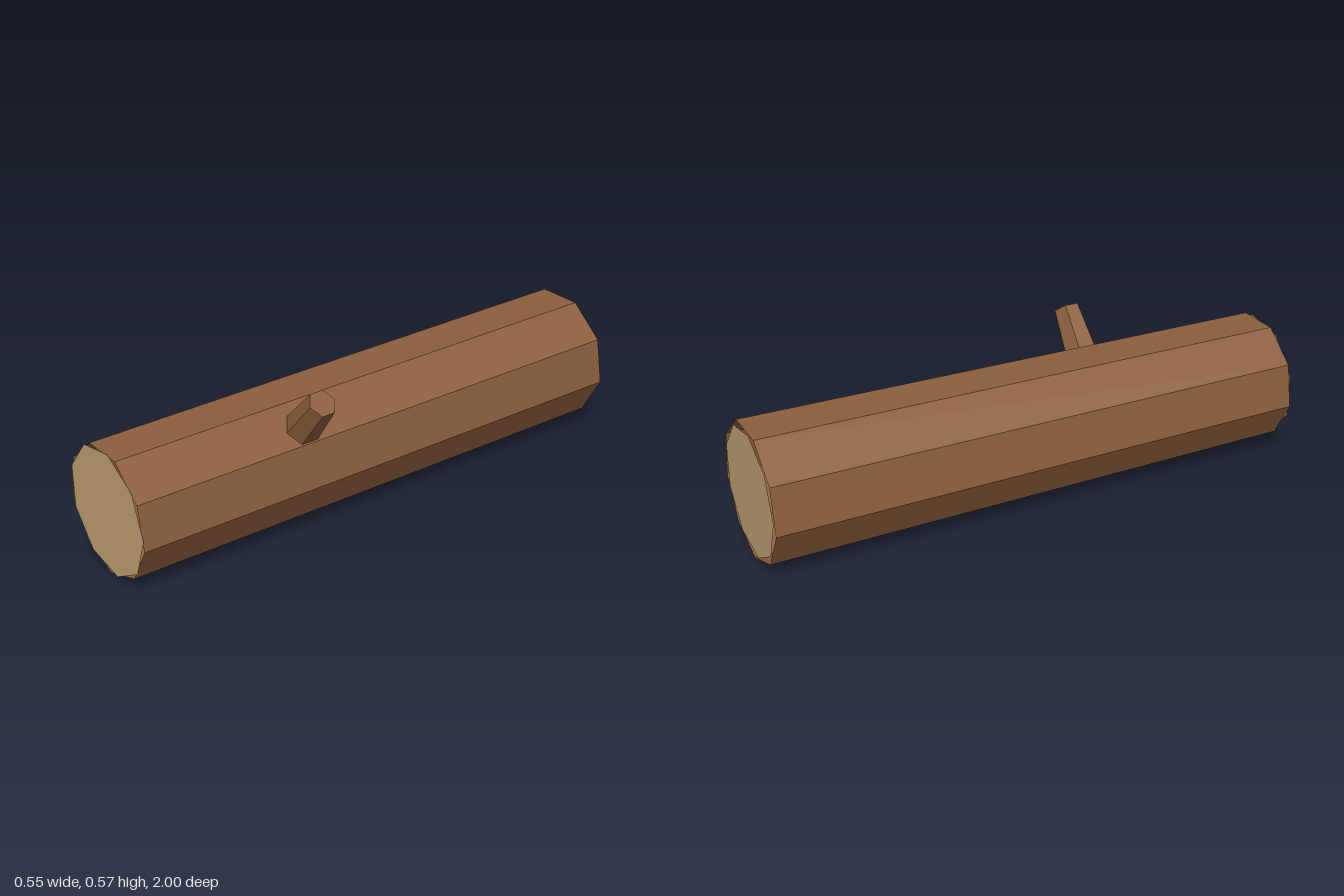
import * as THREE from 'three';

const AXIS_X = -0.033, AXIS_Y = 0.246;

export function createModel() {
  const group = new THREE.Group();
  const bark = new THREE.MeshStandardMaterial({ color: 0x8b5e3c, flatShading: true, side: THREE.DoubleSide });
  const cutWood = new THREE.MeshStandardMaterial({ color: 0xc4a574, flatShading: true, side: THREE.DoubleSide });

  const add = (name, geometry, material, x, y, z) => {
    const mesh = new THREE.Mesh(geometry, material);
    mesh.name = name;
    mesh.position.set(x, y, z);
    group.add(mesh);
    return mesh;
  };

  // Nine-sided trunk, open at both ends and slightly thicker at the back
  const trunk = new THREE.CylinderGeometry(0.233, 0.246, 1.998, 9, 1, true);
  add('trunk', trunk.rotateX(Math.PI / 2), bark, AXIS_X, AXIS_Y, 0);

  // Cut faces, turned against the trunk's corners so small gaps remain
  const cut = new THREE.CircleGeometry(0.23, 9);
  add('frontCutFace', cut, cutWood, AXIS_X, AXIS_Y, 1);
  add('backCutFace', cut, cutWood, AXIS_X, AXIS_Y, -1).rotation.y = Math.PI;

  // Tapered branch stub, moved so that its tip is the origin
  const stub = new THREE.CylinderGeometry(0.05, 0.073, 0.3, 6).translate(0, -0.15, 0);
  add('branchStub', stub, bark, 0.24, 0.54, 0.335).rotation.z = -THREE.MathUtils.degToRad(40);

  return group;
}
